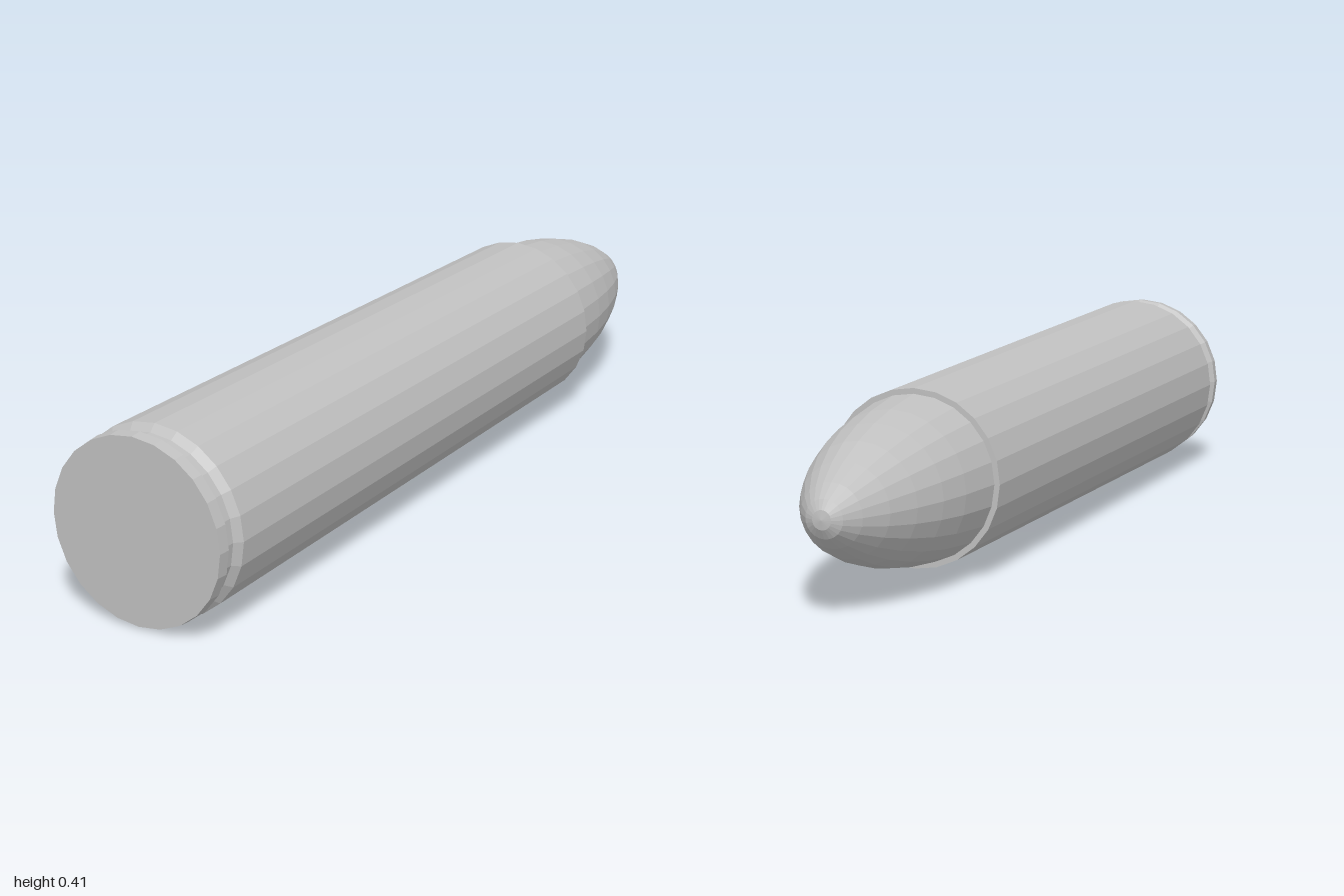
import * as THREE from 'three';

const SIDES = 24;
const AXIS_HEIGHT = 0.207;

// Revolve [radius, z] pairs, listed from the base (+z) to the tip (-z).
function turned(name, profile, material) {
  const points = profile.map(([r, z]) => new THREE.Vector2(r, -z));
  const geometry = new THREE.LatheGeometry(points, SIDES);
  geometry.rotateX(-Math.PI / 2);
  geometry.translate(0, AXIS_HEIGHT, 0);
  const mesh = new THREE.Mesh(geometry, material);
  mesh.name = name;
  return mesh;
}

export function createModel() {
  const group = new THREE.Group();
  group.name = 'cartridge';

  const metal = new THREE.MeshStandardMaterial({ color: 0xc0c0c0 });
  metal.name = 'grey metal';
  metal.flatShading = true;

  // Flat base disc and rim
  group.add(turned('rim', [[0, 1], [0.203, 1], [0.205, 0.973], [0.192, 0.965]], metal));

  // Extractor groove with its bevelled shoulder
  group.add(turned('extractorGroove', [[0.192, 0.965], [0.192, 0.94], [0.207, 0.925]], metal));

  // Gently tapered case, closed by the mouth ring
  group.add(turned('case', [[0.207, 0.925], [0.191, -0.54], [0.178, -0.54]], metal));

  // Rounded, pointed bullet
  group.add(turned('bullet', [
    [0.179, -0.54], [0.165, -0.66], [0.149, -0.74], [0.126, -0.82],
    [0.098, -0.89], [0.066, -0.95], [0.04, -0.985], [0.02, -0.997], [0, -1],
  ], metal));

  return group;
}
